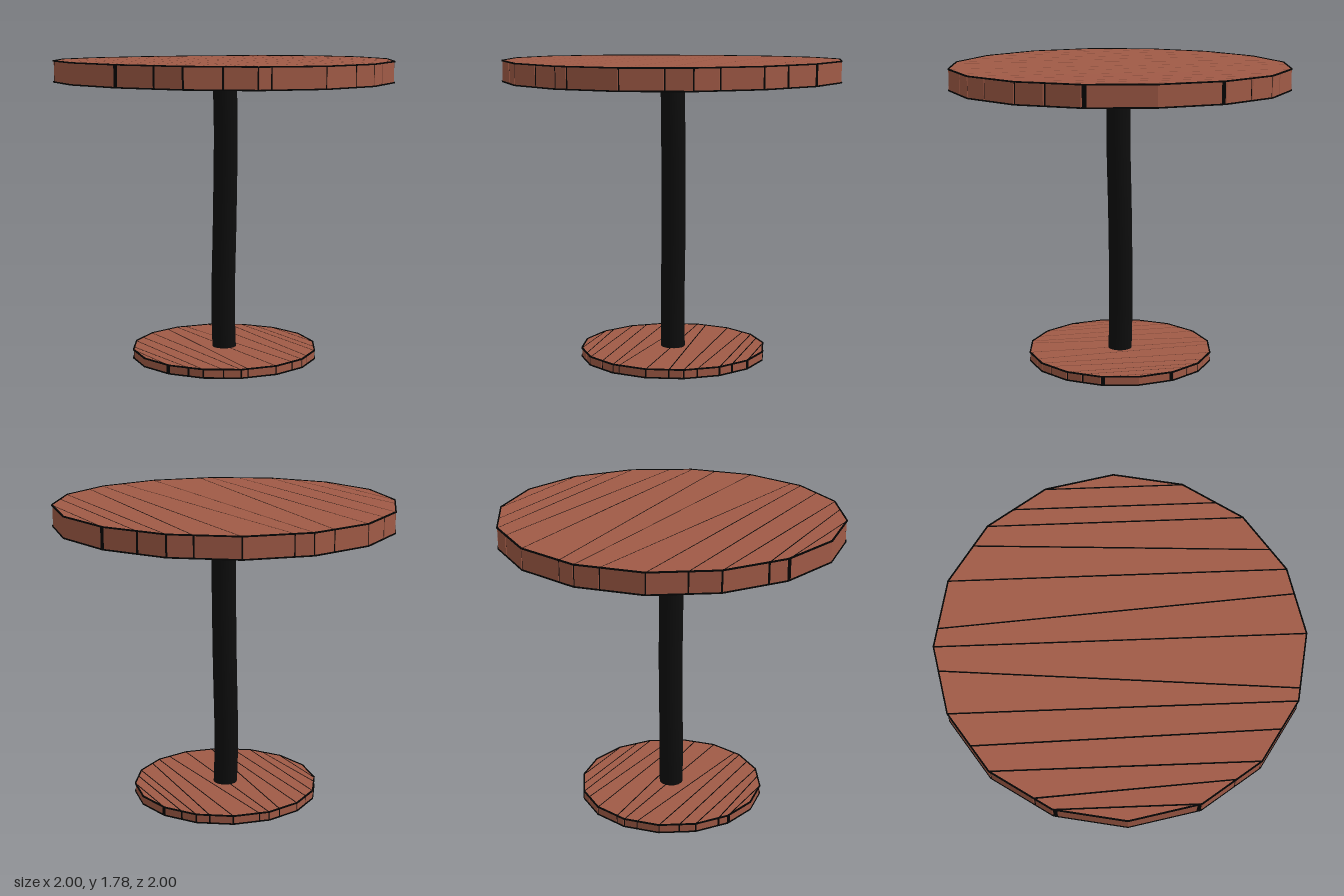
import * as THREE from 'three';

const SIDES = 16;
const wood = new THREE.MeshStandardMaterial({ color: 0xa05a46 });
wood.name = 'reddish wood';
const black = new THREE.MeshStandardMaterial({ color: 0x0d0d0d });
black.name = 'black pole';
const seamBlack = new THREE.MeshStandardMaterial({ color: 0x030303 });
seamBlack.name = 'black seam';

// corners of the unit sixteen-sided outline
const corners = Array.from({ length: SIDES }, (_, i) => {
  const a = (i / SIDES) * Math.PI * 2;
  return new THREE.Vector2(Math.cos(a), Math.sin(a));
});

// seam positions on the unit outline: [x at the back, x at the front]
const seams = [
  [-1, -1], [-0.924, -0.924], [-0.86, -0.8], [-0.707, -0.707], [-0.565, -0.535],
  [-0.383, -0.383], [-0.14, -0.31], [0, 0], [0.105, 0.235], [0.383, 0.383],
  [0.59, 0.505], [0.707, 0.707], [0.805, 0.805], [0.924, 0.924], [1, 1],
];

// half depth of the outline at x
function rimZ(x) {
  for (let i = 0; i < SIDES / 2; i++) {
    const a = corners[i], b = corners[i + 1];
    if (x <= a.x && x >= b.x) return a.y + ((b.y - a.y) * (a.x - x)) / (a.x - b.x);
  }
  return 0;
}

// points of one plank edge between xa and xb (sign -1 back, +1 front)
function edgePoints(xa, xb, sign) {
  const xs = corners.slice(1, SIDES / 2).map((c) => c.x).filter((x) => x > xa + 0.001 && x < xb - 0.001);
  return [xa, ...xs.reverse(), xb].map((x) => new THREE.Vector2(x, sign * rimZ(x)));
}

// slight hand-made lift towards the left and right ends
function warp(geometry, lift) {
  const p = geometry.attributes.position;
  for (let i = 0; i < p.count; i++) p.setY(i, p.getY(i) + lift * p.getX(i) ** 2);
  geometry.computeVertexNormals();
  return geometry;
}

function add(group, name, geometry, material) {
  const mesh = new THREE.Mesh(geometry, material);
  mesh.name = name;
  group.add(mesh);
  return mesh;
}

// round slab of planks with dark seams and a dark edge line
function plankDisc(name, radius, bottom, top, lift) {
  const group = new THREE.Group();
  group.name = name;
  const gap = 0.0045 / radius;
  const height = top - bottom;

  for (let i = 0; i < seams.length - 1; i++) {
    const left = seams[i].map((x) => (i === 0 ? x : x + gap));
    const right = seams[i + 1].map((x) => (i === seams.length - 2 ? x : x - gap));
    const back = edgePoints(left[0], right[0], -1);
    const front = edgePoints(left[1], right[1], 1).reverse();
    const outline = [...back, ...front].filter((p, k, all) => k === 0 || p.distanceTo(all[k - 1]) > 1e-4);
    if (outline[0].distanceTo(outline[outline.length - 1]) < 1e-4) outline.pop();
    const shape = new THREE.Shape(outline.map((p) => p.multiplyScalar(radius)));
    const geometry = new THREE.ExtrudeGeometry(shape, { depth: height, bevelEnabled: false });
    geometry.rotateX(Math.PI / 2).translate(0, top, 0);
    add(group, 'plank', warp(geometry, lift), wood);
  }

  // dark core showing through the gaps
  const core = new THREE.CylinderGeometry(radius - 0.004, radius - 0.004, height - 0.006, SIDES).toNonIndexed();
  core.translate(0, (top + bottom) / 2, 0);
  add(group, 'seamCore', warp(core, lift), seamBlack);

  // edge lines along the upper and lower rim
  for (const y of [top, bottom]) {
    corners.forEach((c, i) => {
      const d = corners[(i + 1) % SIDES];
      const a = new THREE.Vector3(c.x * radius, y + lift * (c.x * radius) ** 2, c.y * radius);
      const b = new THREE.Vector3(d.x * radius, y + lift * (d.x * radius) ** 2, d.y * radius);
      const line = add(group, 'rimLine', new THREE.BoxGeometry(0.008, 0.008, a.distanceTo(b) + 0.002), seamBlack);
      line.position.copy(a).lerp(b, 0.5);
      line.lookAt(b);
    });
  }
  return group;
}

export function createModel() {
  const model = new THREE.Group();
  model.name = 'roundTable';
  model.add(plankDisc('tableTop', 0.996, 1.652, 1.772, 0.008));
  model.add(plankDisc('base', 0.552, 0.006, 0.055, 0));

  // slightly crooked pole
  const path = new THREE.CatmullRomCurve3([
    new THREE.Vector3(0, 0.05, 0),
    new THREE.Vector3(-0.004, 0.3, -0.006),
    new THREE.Vector3(0.004, 0.85, 0),
    new THREE.Vector3(0.004, 1.4, 0.011),
    new THREE.Vector3(0, 1.66, 0.006),
  ]);
  add(model, 'pole', new THREE.TubeGeometry(path, 16, 0.072, 16, false), black);
  return model;
}
